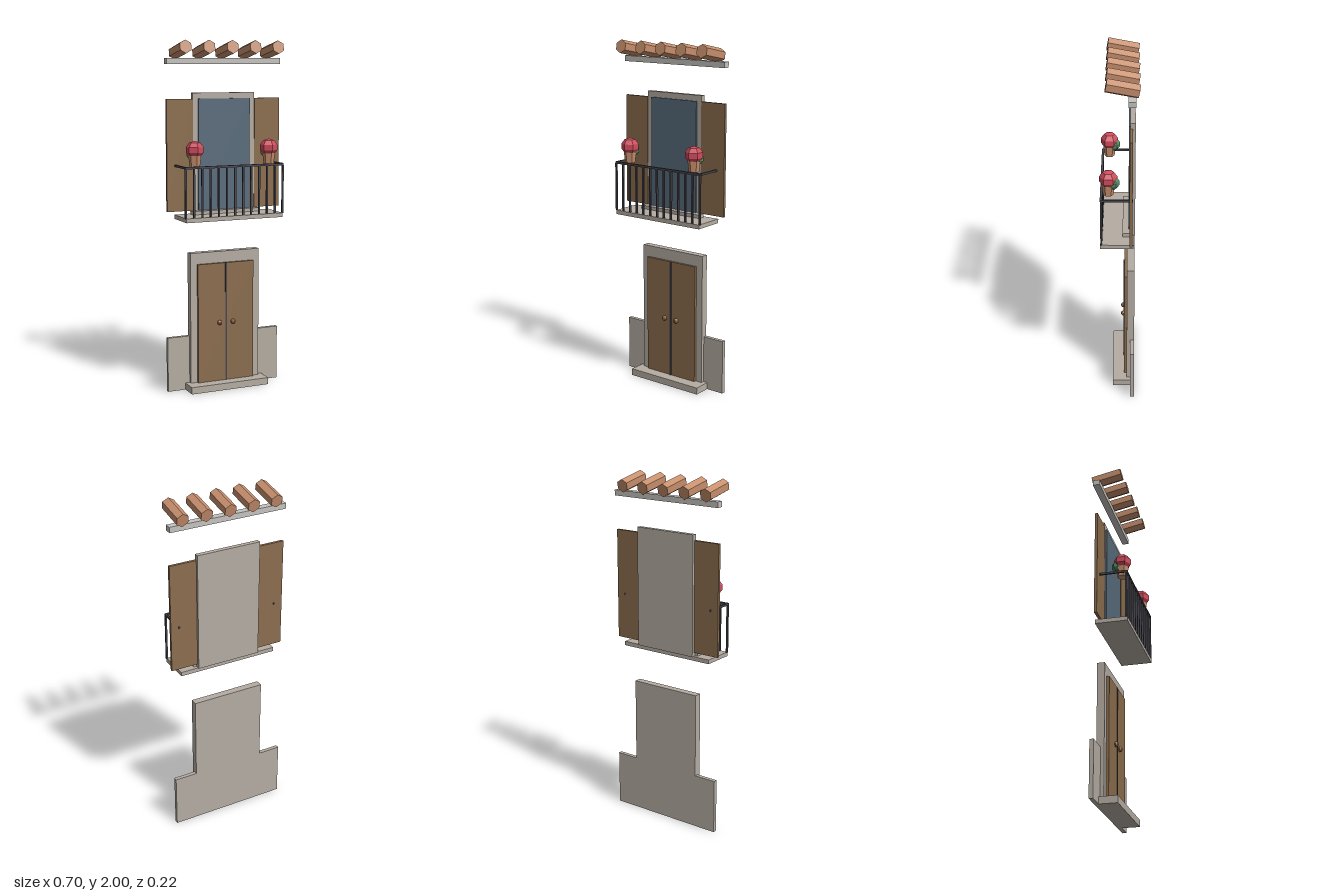
import * as THREE from 'three';

const mat = (name, color) => {
  const m = new THREE.MeshStandardMaterial({ color, flatShading: true });
  m.name = name;
  return m;
};

export function createModel() {
  const model = new THREE.Group();
  model.name = 'houseFacade';

  const stone = mat('stone', 0xb5ada3);
  const paleStone = mat('paleStone', 0xc5c3be);
  const wood = mat('wood', 0x8b6d4e);
  const glass = mat('glass', 0x586b7b);
  const clay = mat('clay', 0xc68e6c);
  const brass = mat('knobBrown', 0x9c6b4c);
  const iron = mat('iron', 0x45454d);
  const petal = mat('petal', 0xd04c5c);
  const leaf = mat('leaf', 0x4f8a5f);

  const add = (name, geometry, material, x = 0, y = 0, z = 0, parent = model) => {
    const mesh = new THREE.Mesh(geometry, material);
    mesh.name = name;
    mesh.position.set(x, y, z);
    parent.add(mesh);
    return mesh;
  };
  // Box given by its extents on each axis
  const box = (name, material, x0, x1, y0, y1, z0, z1) =>
    add(name, new THREE.BoxGeometry(x1 - x0, y1 - y0, z1 - z0), material,
      (x0 + x1) / 2, (y0 + y1) / 2, (z0 + z1) / 2);

  // Ground floor: plinth wings, door surround, step and double door
  for (const s of [-1, 1]) {
    box('plinth', stone, Math.min(s * 0.21, s * 0.348), Math.max(s * 0.21, s * 0.348), 0, 0.317, -0.087, -0.064);
  }
  box('doorSurround', stone, -0.215, 0.215, 0, 0.803, -0.087, -0.044);
  box('doorStep', stone, -0.242, 0.242, 0, 0.04, -0.064, 0.038);
  box('door', wood, -0.174, 0.174, 0.04, 0.737, -0.044, -0.029);
  box('doorGap', iron, -0.005, 0.005, 0.04, 0.737, -0.04, -0.025);
  for (const s of [-1, 1]) {
    add('doorKnob', new THREE.SphereGeometry(0.015, 8, 6), brass, s * 0.042, 0.387, -0.024);
  }

  // Upper window with sill and open shutters
  box('windowSurround', stone, -0.19, 0.19, 1.025, 1.71, -0.087, -0.06);
  box('windowGlass', glass, -0.159, 0.159, 1.045, 1.677, -0.06, -0.052);
  box('windowSill', stone, -0.208, 0.208, 1.025, 1.047, -0.06, -0.019);
  for (const s of [-1, 1]) {
    box('shutter', wood, Math.min(s * 0.19, s * 0.348), Math.max(s * 0.19, s * 0.348), 1.047, 1.677, -0.072, -0.056);
  }

  // Balcony slab and iron railing
  box('balconySlab', stone, -0.296, 0.296, 1.003, 1.027, -0.08, 0.103);
  box('frontRail', iron, -0.3, 0.3, 1.3, 1.312, 0.09, 0.103);
  for (const s of [-1, 1]) {
    box('sideRail', iron, s * 0.297 - 0.005, s * 0.297 + 0.005, 1.3, 1.312, -0.075, 0.092);
  }
  const bars = 13;
  for (let i = 0; i < bars; i++) {
    const x = -0.297 + (0.594 * i) / (bars - 1);
    box('railingBar', iron, x - 0.005, x + 0.005, 1.025, 1.302, 0.092, 0.102);
  }

  // Flower pots at the balcony corners
  for (const s of [-1, 1]) {
    const plant = new THREE.Group();
    plant.name = 'flowerPot';
    plant.position.set(s * 0.227, 0, 0.058);
    add('pot', new THREE.CylinderGeometry(0.036, 0.029, 0.062, 6), clay, 0, 1.339, 0, plant);
    const bloom = add('blossom', new THREE.SphereGeometry(0.052, 6, 5), petal, 0, 1.402, 0, plant);
    const bush = add('foliage', new THREE.SphereGeometry(0.039, 6, 5), leaf, 0, 1.378, -0.024, plant);
    bloom.scale.y = 0.94;
    bush.scale.y = 0.94;
    bloom.rotation.y = bush.rotation.y = Math.PI / 6;
    model.add(plant);
  }

  // Eaves: ledge with a row of sloping six-sided rafters
  box('eavesLedge', paleStone, -0.348, 0.348, 1.87, 1.902, -0.087, -0.047);
  const rafter = new THREE.CylinderGeometry(0.038, 0.038, 0.173, 6);
  rafter.rotateX(Math.PI / 2 - 0.19);
  for (let i = -2; i <= 2; i++) {
    add('rafter', rafter, clay, i * 0.14, 1.947, -0.018);
  }

  return model;
}
